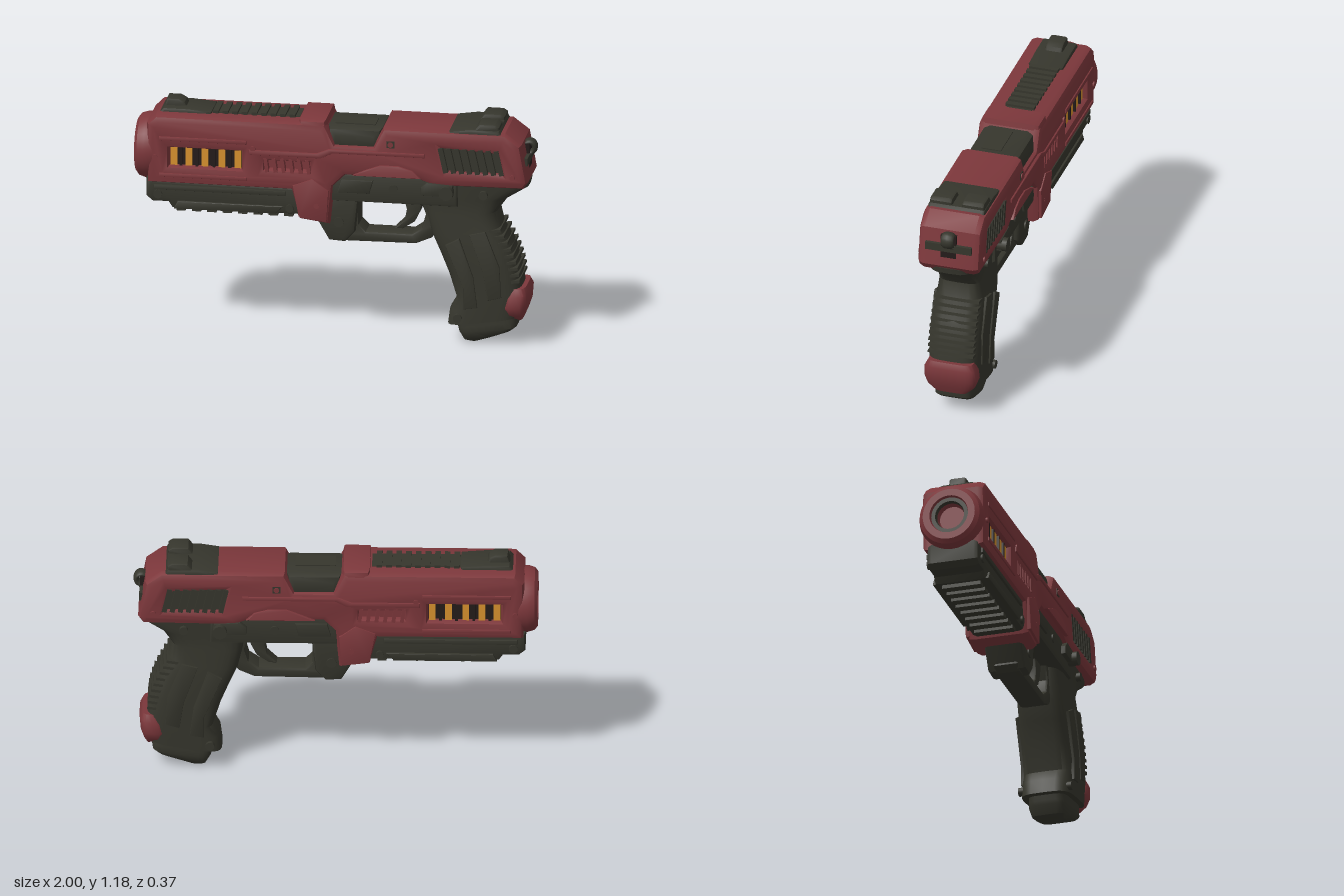
import * as THREE from 'three';
import { toCreasedNormals } from 'three/addons/utils/BufferGeometryUtils.js';

const mat = (name, color) => Object.assign(new THREE.MeshStandardMaterial({ color }), { name });

export function createModel() {
  const red = mat('dark red', 0x7c373b);
  const dark = mat('gunmetal', 0x36362d);
  const black = mat('recess black', 0x241c1a);
  const gold = mat('amber', 0xd8922e);
  const model = new THREE.Group();
  model.name = 'sciFiPistol';

  const add = (name, geo, material, x = 0, y = 0, z = 0, rz = 0) => {
    const m = new THREE.Mesh(geo, material);
    m.name = name;
    m.position.set(x, y, z);
    m.rotation.z = rz;
    model.add(m);
    return m;
  };
  const box = (name, material, x, y, z, w, h, d, rz = 0) =>
    add(name, new THREE.BoxGeometry(w, h, d), material, x, y, z, rz);
  const shapePts = (pts) => pts.map(([x, y]) => new THREE.Vector2(x, y));

  // Side profile extruded across z, centred, with chamfered edges kept inside the outline
  const plate = (name, material, pts, half, bevel = 0.015, holes = [], z = 0) => {
    const shape = new THREE.Shape(shapePts(pts));
    holes.forEach((h) => shape.holes.push(new THREE.Path(shapePts(h))));
    const geo = new THREE.ExtrudeGeometry(shape, {
      depth: 2 * (half - bevel), bevelEnabled: bevel > 0, bevelSegments: 2,
      bevelSize: bevel, bevelThickness: bevel, bevelOffset: -bevel,
    });
    geo.translate(0, 0, -(half - bevel));
    return add(name, toCreasedNormals(geo, 0.6), material, 0, 0, z);
  };
  const pairPlate = (name, material, pts, z, half, bevel = 0.005) =>
    [1, -1].forEach((s) => plate(name, material, pts, half, bevel, [], s * z));
  const rod = (name, material, x, y, r, len, sides = 16) =>
    add(name, new THREE.CylinderGeometry(r, r, len, sides).rotateX(Math.PI / 2), material, x, y);
  const rect = (x0, y0, x1, y1) => [[x0, y0], [x1, y0], [x1, y1], [x0, y1]];

  // Rounded cross-sections from top to bottom: [front x, front y, back x, back y, half width]
  const loft = (name, material, rows, power = 0.5) => {
    const N = 28, pos = [], idx = [];
    const curve = (v) => Math.sign(v) * Math.pow(Math.abs(v), power);
    rows.forEach(([xf, yf, xb, yb, hz]) => {
      for (let i = 0; i < N; i++) {
        const a = (i / N) * Math.PI * 2, t = (curve(Math.cos(a)) + 1) / 2;
        pos.push(xf + (xb - xf) * t, yf + (yb - yf) * t, hz * curve(Math.sin(a)));
      }
    });
    for (let r = 0; r < rows.length - 1; r++)
      for (let i = 0; i < N; i++) {
        const a = r * N + i, b = r * N + (i + 1) % N;
        idx.push(a, b, a + N, b, b + N, a + N);
      }
    [0, rows.length - 1].forEach((r, end) => {
      const [xf, yf, xb, yb] = rows[r], c = pos.length / 3;
      pos.push((xf + xb) / 2, (yf + yb) / 2, 0);
      for (let i = 0; i < N; i++) {
        const a = r * N + i, b = r * N + (i + 1) % N;
        end ? idx.push(c, a, b) : idx.push(c, b, a);
      }
    });
    const geo = new THREE.BufferGeometry();
    geo.setAttribute('position', new THREE.Float32BufferAttribute(pos, 3));
    geo.setIndex(idx);
    return add(name, toCreasedNormals(geo, 0.7), material);
  };

  // Slide shell with openings for the cell window, the vents and the rear grip panel
  plate('slide', red, [
    [-0.93, 0.77], [-0.21, 0.77], [-0.17, 0.62], [-0.02, 0.6], [0, 0.8], [0.06, 0.86], [0.42, 0.86],
    [0.5, 0.83], [0.95, 0.835], [0.975, 0.87], [0.94, 1.06], [0.86, 1.12], [0.25, 1.12], [0.2, 1.02],
    [0.01, 1.02], [-0.04, 1.125], [-0.89, 1.125], [-0.935, 1.08],
  ], 0.163, 0.035, [
    rect(-0.82, 0.865, -0.46, 0.955),
    rect(-0.34, 0.875, -0.12, 0.915),
    [[0.58, 0.92], [0.83, 0.92], [0.81, 1.01], [0.55, 1.025]],
  ]);
  box('windowCore', black, -0.64, 0.91, 0, 0.46, 0.18, 0.24);
  [-0.8, -0.725, -0.645, -0.56, -0.48].forEach((x) => box('energyCell', gold, x, 0.91, 0, 0.033, 0.092, 0.262));
  [-0.765, -0.685, -0.6, -0.52].forEach((x) => box('windowPost', black, x, 0.91, 0, 0.014, 0.092, 0.275));
  box('ventCore', red, -0.23, 0.9, 0, 0.26, 0.1, 0.25);
  for (let i = 0; i < 6; i++) box('ventSlat', red, -0.335 + i * 0.042, 0.897, 0, 0.018, 0.075, 0.315, 0.15);
  box('rearPanelCore', dark, 0.69, 0.97, 0, 0.32, 0.13, 0.285);
  for (let i = 0; i < 8; i++) box('rearGripSlat', dark, 0.552 + i * 0.04, 0.97, 0, 0.024, 0.13, 0.325, 0.22);

  // Raised collar and side armour
  plate('collar', red, [[-0.18, 1.05], [-0.02, 1.05], [-0.04, 1.14], [-0.17, 1.14]], 0.155, 0.03);
  pairPlate('sideRail', red, [[-0.42, 0.95], [-0.06, 0.95], [0, 0.98], [0.46, 0.98], [0.46, 1], [-0.02, 1], [-0.08, 0.975], [-0.42, 0.975]], 0.16, 0.012);
  pairPlate('sideArmour', red, [[0.1, 0.87], [0.44, 0.87], [0.4, 0.91], [0.33, 0.93], [0.24, 0.93], [0.16, 0.9]], 0.158, 0.014);
  pairPlate('lowerArmour', red, [[-0.17, 0.64], [-0.03, 0.62], [-0.02, 0.78], [-0.1, 0.84], [-0.2, 0.8]], 0.158, 0.012);
  pairPlate('windowTrim', red, rect(-0.87, 1, -0.43, 1.02), 0.16, 0.01);
  pairPlate('windowTrim', red, rect(-0.87, 0.81, -0.43, 0.83), 0.16, 0.01);
  [[-0.89, 0.91], [-0.4, 0.98], [-0.08, 0.7], [0.29, 1.04], [0.2, 0.895], [0.9, 0.9]].forEach(([x, y]) => rod('slideBolt', red, x, y, 0.014, 0.342, 10));
  box('slideNotch', dark, 0.29, 1.04, 0, 0.04, 0.035, 0.332);

  // Muzzle ring and bore
  const ring = (name, material, pts) => {
    const geo = new THREE.LatheGeometry(shapePts(pts), 40).rotateZ(Math.PI / 2);
    add(name, toCreasedNormals(geo, 0.5), material, 0, 0.92, 0);
  };
  ring('muzzle', red, [[0.16, 0.9], [0.166, 0.95], [0.155, 0.985], [0.135, 1], [0.1, 1], [0.095, 0.985]]);
  ring('boreRing', dark, [[0.1, 0.985], [0.075, 0.985], [0.07, 0.965]]);
  ring('bore', red, [[0.072, 0.97], [0.065, 0.935], [0, 0.935]]);

  // Top: ribs, chamber and sights
  box('topRail', dark, -0.41, 1.122, 0, 0.46, 0.012, 0.13);
  for (let i = 0; i < 9; i++) box('topRib', dark, -0.6 + i * 0.048, 1.128, 0, 0.028, 0.022, 0.15);
  plate('chamber', dark, [[-0.03, 0.98], [0.24, 0.98], [0.24, 1.105], [-0.03, 1.105]], 0.138, 0.04);
  box('chamberRidge', dark, 0.1, 1.1, 0.02, 0.2, 0.02, 0.1);
  plate('frontSightBase', dark, [[-0.9, 1.1], [-0.62, 1.1], [-0.62, 1.135], [-0.74, 1.145], [-0.86, 1.145]], 0.09, 0.012);
  plate('frontSight', dark, [[-0.87, 1.12], [-0.74, 1.12], [-0.76, 1.165], [-0.79, 1.18], [-0.85, 1.18]], 0.045, 0.012);
  plate('rearSightBase', dark, [[0.57, 1.08], [0.84, 1.06], [0.85, 1.1], [0.83, 1.135], [0.68, 1.135], [0.58, 1.12]], 0.148, 0.015);
  pairPlate('rearSightPost', dark, [[0.69, 1.11], [0.83, 1.11], [0.83, 1.15], [0.81, 1.163], [0.73, 1.163]], 0.083, 0.058, 0.012);

  // Rear plate and hammer
  box('rearBar', dark, 0.95, 0.97, 0, 0.04, 0.04, 0.24);
  box('rearSlot', black, 0.949, 0.97, 0, 0.035, 0.14, 0.08);
  add('hammerRing', new THREE.TorusGeometry(0.026, 0.014, 10, 20).scale(1, 1.1, 2.4), dark, 0.962, 1.015);
  plate('hammerArm', dark, [[0.9, 0.93], [0.94, 0.91], [0.975, 0.98], [0.95, 1]], 0.033, 0.008);

  // Under-barrel rail
  plate('underBarrel', dark, [[-0.94, 0.79], [-0.94, 0.69], [-0.91, 0.665], [-0.83, 0.665], [-0.81, 0.635], [-0.14, 0.635], [-0.12, 0.79]], 0.135, 0.025);
  pairPlate('underBarrelStrip', dark, [[-0.8, 0.64], [-0.29, 0.64], [-0.25, 0.68], [-0.78, 0.68]], 0.132, 0.014);
  pairPlate('underBarrelLip', dark, rect(-0.9, 0.735, -0.24, 0.76), 0.135, 0.013);
  for (let i = 0; i < 8; i++) box('railTooth', dark, -0.77 + i * 0.077, 0.632, 0, 0.045, 0.032, 0.2);
  rod('railPin', dark, -0.88, 0.71, 0.022, 0.29);
  rod('railPin', dark, -0.22, 0.67, 0.02, 0.29);

  // Frame, trigger guard and trigger
  plate('frame', dark, [[-0.02, 0.72], [0.62, 0.72], [0.62, 0.87], [0.02, 0.87], [-0.02, 0.82]], 0.135, 0.015);
  plate('guardBlock', dark, [[-0.1, 0.62], [-0.03, 0.5], [0.05, 0.495], [0.1, 0.55], [0.12, 0.74], [-0.05, 0.76]], 0.1, 0.02);
  plate('triggerGuard', dark, [[-0.05, 0.52], [-0.02, 0.49], [0.4, 0.495], [0.48, 0.53], [0.54, 0.62], [0.54, 0.78], [0, 0.78]], 0.065, 0.012,
    [[[0.15, 0.545], [0.38, 0.545], [0.43, 0.58], [0.45, 0.65], [0.42, 0.73], [0.15, 0.73], [0.115, 0.7], [0.115, 0.58]]]);
  plate('trigger', dark, [[0.33, 0.74], [0.35, 0.66], [0.34, 0.61], [0.29, 0.56], [0.33, 0.56], [0.39, 0.6], [0.42, 0.66], [0.43, 0.74]], 0.035, 0.008);
  pairPlate('slideStop', dark, [[0.44, 0.78], [0.6, 0.78], [0.6, 0.84], [0.47, 0.85], [0.44, 0.82]], 0.142, 0.018);
  pairPlate('framePanel', dark, [[0.02, 0.77], [0.18, 0.77], [0.2, 0.84], [0.04, 0.84]], 0.135, 0.012);
  rod('safetyKnob', dark, 0.57, 0.805, 0.035, 0.37);
  [[0.08, 0.8], [0.3, 0.8], [0.75, 0.79]].forEach(([x, y]) => rod('framePin', dark, x, y, 0.022, 0.286));
  rod('guardPin', dark, 0.02, 0.6, 0.025, 0.215);

  // Grip with ribbed back, side panels, red heel and magazine base
  loft('grip', dark, [
    [0.42, 0.86, 0.97, 0.855, 0.125], [0.43, 0.8, 0.965, 0.825, 0.125], [0.44, 0.74, 0.86, 0.76, 0.118],
    [0.455, 0.66, 0.81, 0.69, 0.118], [0.48, 0.56, 0.83, 0.6, 0.127], [0.52, 0.47, 0.885, 0.51, 0.131],
    [0.565, 0.36, 0.915, 0.4, 0.132], [0.605, 0.23, 0.935, 0.29, 0.132], [0.57, 0.17, 0.94, 0.23, 0.132],
    [0.56, 0.095, 0.92, 0.15, 0.13],
  ]);
  for (let i = 0; i < 9; i++) {
    const t = i / 8, x = 0.805 + 0.095 * Math.sin(t * 1.5);
    box('gripRib', dark, x, 0.6 - t * 0.26, 0, 0.06, 0.014, 0.236, 0.15);
  }
  pairPlate('gripPanel', dark, [[0.56, 0.52], [0.63, 0.56], [0.7, 0.36], [0.72, 0.2], [0.65, 0.19], [0.65, 0.3]], 0.13, 0.01);
  pairPlate('gripPanel', dark, [[0.68, 0.58], [0.76, 0.6], [0.83, 0.42], [0.84, 0.26], [0.77, 0.24], [0.75, 0.38]], 0.13, 0.008);
  rod('gripBolt', dark, 0.62, 0.14, 0.022, 0.276);
  loft('gripHeel', red, [
    [0.87, 0.3, 0.955, 0.305, 0.115], [0.85, 0.25, 0.97, 0.275, 0.133], [0.835, 0.2, 0.965, 0.21, 0.135],
    [0.85, 0.165, 0.95, 0.165, 0.12], [0.88, 0.145, 0.935, 0.13, 0.085],
  ]);
  loft('magazineBase', dark, [
    [0.6, 0.12, 0.9, 0.18, 0.1], [0.61, 0.075, 0.91, 0.125, 0.1], [0.615, 0.055, 0.905, 0.09, 0.102], [0.64, 0.01, 0.88, 0.07, 0.09], [0.68, 0, 0.82, 0.045, 0.07],
  ], 0.4);

  return model;
}
